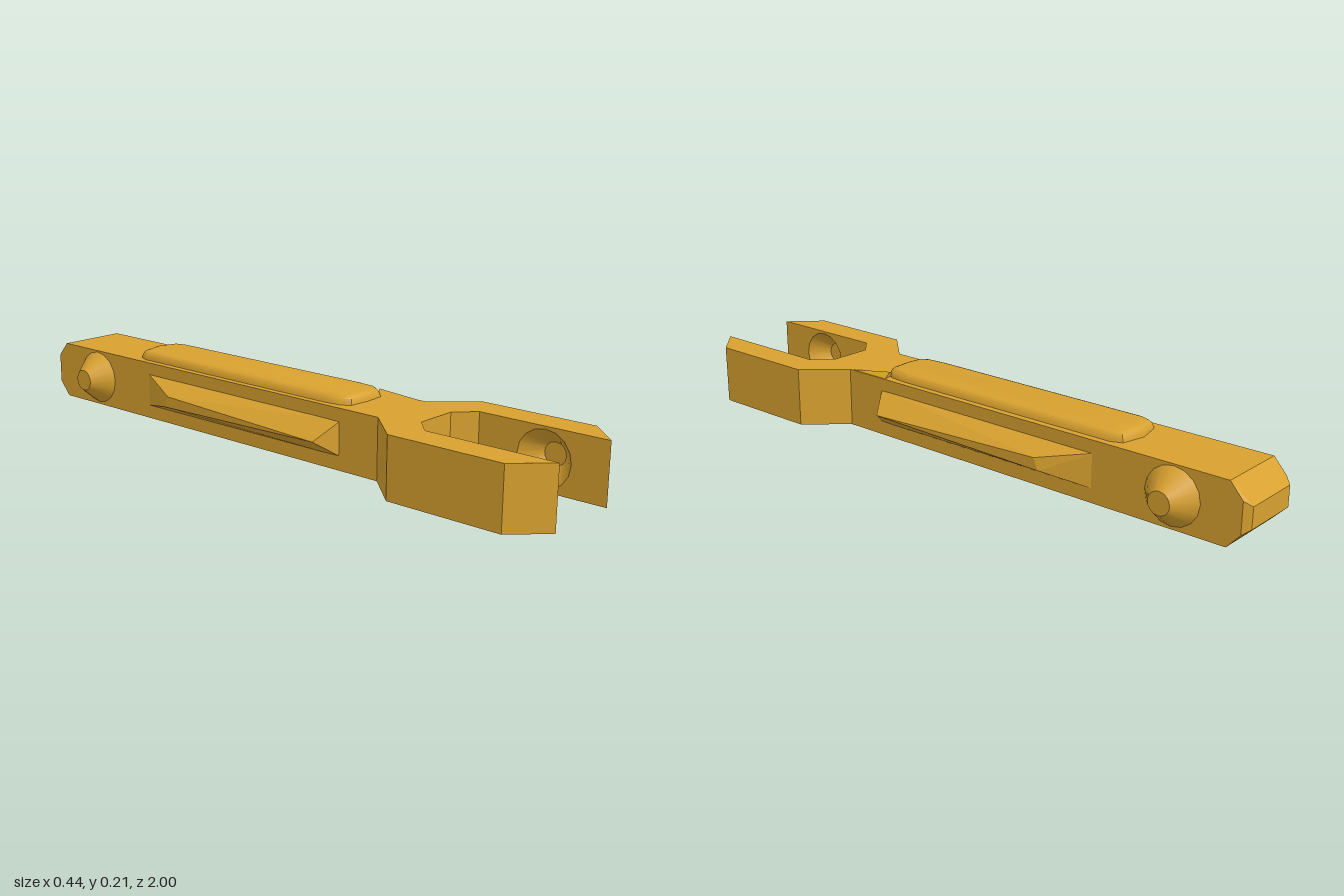
import * as THREE from 'three';
import { ConvexGeometry } from 'three/addons/geometries/ConvexGeometry.js';
import { mergeGeometries, toCreasedNormals } from 'three/addons/utils/BufferGeometryUtils.js';

const H = 0.183;        // height of the bar
const HUB_Y = 0.093;    // height of the peg and socket axis
const SIDES = 16;

const gold = new THREE.MeshStandardMaterial({ color: 0xd8a12f, side: THREE.DoubleSide });
gold.name = 'gold';

function add(parent, name, geometry) {
  const mesh = new THREE.Mesh(geometry, gold);
  mesh.name = name;
  parent.add(mesh);
  return mesh;
}

const hull = (points) => new ConvexGeometry(points.map((p) => new THREE.Vector3(...p)));

// Vertical wall standing on the plan edge a-b
function wall([ax, az], [bx, bz]) {
  const g = new THREE.BufferGeometry();
  const p = [bx, 0, bz, ax, 0, az, ax, H, az, bx, 0, bz, ax, H, az, bx, H, bz];
  g.setAttribute('position', new THREE.Float32BufferAttribute(p, 3));
  g.computeVertexNormals();
  return g;
}

export function createModel() {
  const model = new THREE.Group();
  model.name = 'chainLink';

  // Plan of the bar and fork: (x, z) from back to the crotch, then mirrored
  const half = [[0.11, -0.94], [0.11, 0.42], [0.22, 0.54], [0.22, 0.9],
    [0.125, 0.995], [0.125, 0.59], [0.067, 0.535]];
  const plan = [...half, ...half.map(([x, z]) => [-x, z]).reverse()];
  const face = (sign) => new THREE.ShapeGeometry(
    new THREE.Shape(plan.map(([x, z]) => new THREE.Vector2(x, sign * z))));
  add(model, 'barTop', face(-1).rotateX(-Math.PI / 2).translate(0, H, 0));
  add(model, 'barBottom', face(1).rotateX(Math.PI / 2));

  // Outer walls; the inner prong walls (edges 4 and 8) carry sockets instead
  const walls = [];
  for (let i = 0; i < plan.length - 1; i++) {
    if (i !== 4 && i !== 8) walls.push(wall(plan[i], plan[i + 1]));
  }
  add(model, 'barWalls', mergeGeometries(walls));

  // Chamfered back end
  const end = [];
  for (const s of [-1, 1]) {
    end.push([s * 0.11, 0, -0.94], [s * 0.11, H, -0.94],
      [s * 0.11, 0.045, -0.98], [s * 0.11, 0.138, -0.98],
      [s * 0.093, 0.06, -1], [s * 0.093, 0.123, -1]);
  }
  add(model, 'backEnd', hull(end));

  // Raised rounded pad on top, from inset copies of one outline
  const padHalf = [[0, 0.295], [0.065, 0.29], [0.085, 0.265], [0.091, 0.2],
    [0.089, -0.56], [0.075, -0.593], [0, -0.61]];
  const pad = [];
  for (const [inset, y] of [[0, 0.178], [0.002, 0.19], [0.006, 0.2], [0.012, 0.207], [0.021, 0.21]]) {
    for (const [x, z] of padHalf) {
      for (const s of [-1, 1]) {
        pad.push([s * x * (1 - inset / 0.09), y, -0.157 + (z + 0.157) * (1 - inset / 0.45)]);
      }
    }
  }
  add(model, 'topPad', toCreasedNormals(hull(pad), 0.65));
  add(model, 'padSliver', hull([[0.084, 0.2, 0.27], [0.106, H, 0.41], [0.106, H, 0.27],
    [0.06, H, 0.28], [0.106, 0.175, 0.3]]));

  // Mirrored side parts
  for (const s of [1, -1]) {
    const side = new THREE.Group();
    side.name = s > 0 ? 'leftSide' : 'rightSide';
    side.scale.x = s;
    model.add(side);

    // Faceted side ridge
    add(side, 'sideRidge', hull([
      [0.105, 0.04, 0.285], [0.105, 0.147, 0.285], [0.105, 0.147, -0.53], [0.105, 0.04, -0.53],
      [0.176, 0.09, 0.24], [0.17, 0.075, -0.38], [0.17, 0.11, -0.365]]));

    // Conical peg
    add(side, 'peg', new THREE.CylinderGeometry(0.034, 0.085, 0.063, SIDES)
      .rotateZ(-Math.PI / 2).translate(0.11 + 0.0315, HUB_Y, -0.775));

    // Inner prong wall with a round opening
    const inner = new THREE.Shape([[0.59, 0], [0.995, 0], [0.995, H], [0.59, H]]
      .map((p) => new THREE.Vector2(...p)));
    inner.holes.push(new THREE.Path().absarc(0.8, H / 2, 0.084, 0, Math.PI * 2, true));
    add(side, 'prongInnerWall', new THREE.ShapeGeometry(inner, SIDES / 2)
      .rotateY(-Math.PI / 2).translate(0.125, 0, 0));

    // Conical socket and its floor
    add(side, 'socket', new THREE.CylinderGeometry(0.034, 0.084, 0.06, SIDES, 1, true)
      .rotateZ(-Math.PI / 2).translate(0.155, H / 2, 0.8));
    add(side, 'socketFloor', new THREE.CircleGeometry(0.034, SIDES)
      .rotateY(-Math.PI / 2).translate(0.185, H / 2, 0.8));
  }
  return model;
}
